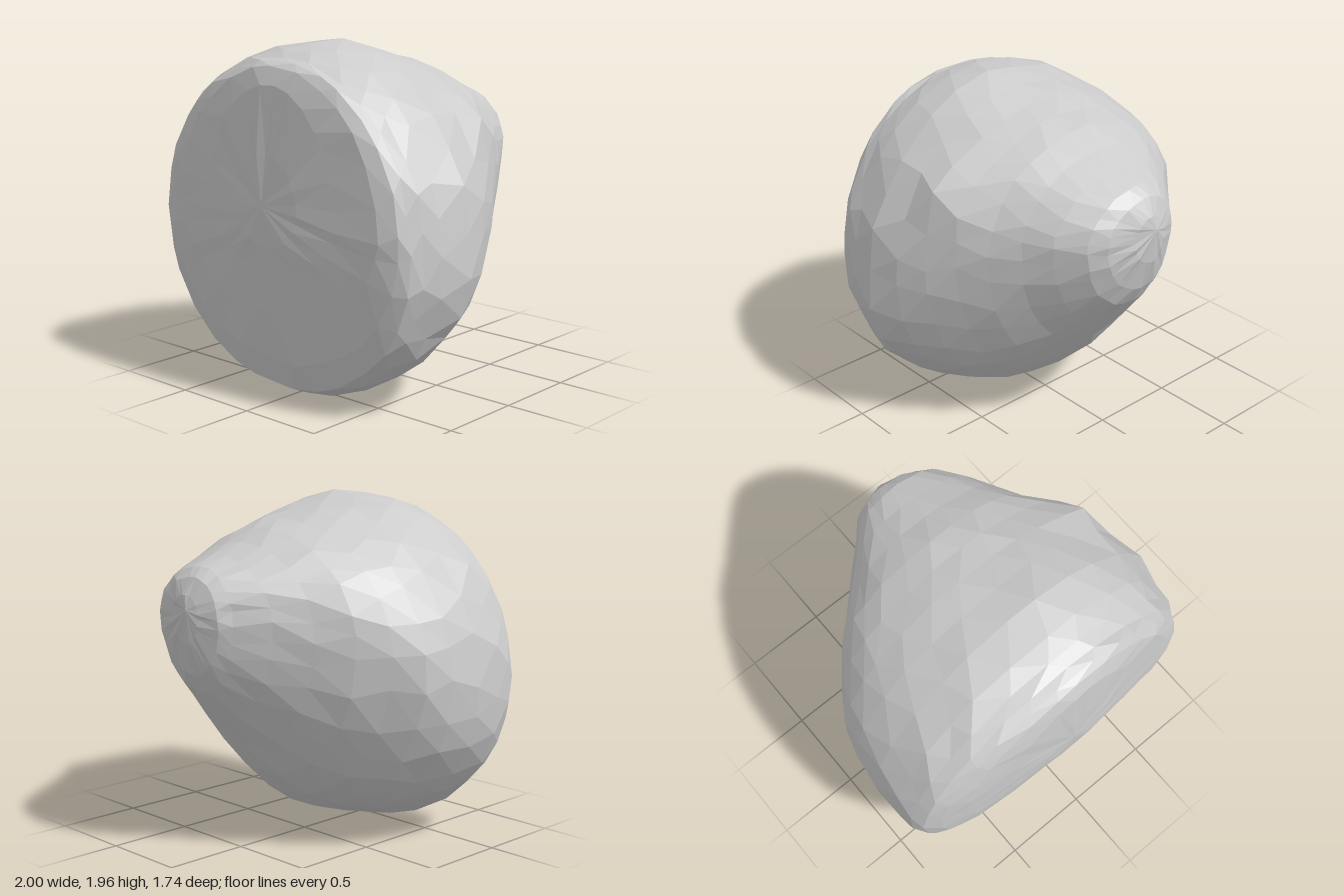
import * as THREE from 'three';

// Cross-sections from back to front: z, right x, left x, bottom y, top y, y of the widest point
const SECTIONS = [
  [-0.85, -0.07, 0.14, 1.20, 1.47, 1.35],
  [-0.80, -0.18, 0.29, 1.03, 1.56, 1.33],
  [-0.74, -0.23, 0.38, 0.92, 1.61, 1.32],
  [-0.60, -0.38, 0.49, 0.75, 1.66, 1.30],
  [-0.45, -0.54, 0.58, 0.58, 1.72, 1.25],
  [-0.30, -0.70, 0.68, 0.40, 1.79, 1.20],
  [-0.15, -0.82, 0.77, 0.25, 1.83, 1.14],
  [0.00, -0.92, 0.86, 0.15, 1.87, 1.05],
  [0.16, -0.98, 0.95, 0.09, 1.91, 0.97],
  [0.35, -1.00, 1.00, 0.04, 1.95, 0.87],
  [0.53, -1.00, 0.97, 0.00, 1.94, 0.87],
  [0.64, -0.975, 0.93, 0.02, 1.91, 0.90],
  [0.71, -0.95, 0.90, 0.05, 1.88, 0.93],
  [0.76, -0.86, 0.86, 0.22, 1.86, 0.97],
  [0.80, -0.72, 0.76, 0.50, 1.83, 1.02],
  [0.835, -0.45, 0.48, 0.74, 1.74, 1.06],
  [0.858, -0.20, 0.25, 0.88, 1.38, 1.08],
];
const SIDES = 28;

function seeded(seed) {
  return () => {
    seed = (seed * 16807) % 2147483647;
    return seed / 2147483647 * 2 - 1;
  };
}

function boulderGeometry() {
  const random = seeded(41);
  const positions = [];
  const index = [];
  const knob = new THREE.Vector3(0.74, 1.53, -0.04);
  const p = new THREE.Vector3();

  // Rings of four joined quarter ellipses, staggered and slightly irregular
  SECTIONS.forEach(([z, right, left, bottom, top, midY], i) => {
    for (let j = 0; j < SIDES; j++) {
      const angle = (j + (i % 2) * 0.5 + random() * 0.2) / SIDES * Math.PI * 2;
      const c = Math.cos(angle), s = Math.sin(angle);
      const k = 1 + random() * 0.012;
      const midX = 0.02;
      p.set(
        midX + k * c * (c > 0 ? left - midX : midX - right),
        midY + k * s * (s > 0 ? top - midY : midY - bottom),
        z + random() * 0.006
      );
      // Blunt knob on the upper left shoulder
      const push = 0.1 * Math.exp(-p.distanceToSquared(knob) / 0.03);
      p.x += push * 0.85;
      p.y += push * 0.5;
      positions.push(p.x, Math.max(0, p.y), p.z);
    }
  });
  const backTip = positions.length / 3;
  positions.push(0, 1.39, -0.87, 0, 1.1, 0.87);
  const frontTip = backTip + 1;

  // Skin between the rings
  const last = SECTIONS.length - 1;
  for (let i = 0; i < last; i++) {
    for (let j = 0; j < SIDES; j++) {
      const next = (j + 1) % SIDES;
      const a = i * SIDES + j, b = i * SIDES + next;
      const c = a + SIDES, d = b + SIDES;
      if (i % 2) index.push(a, d, c, a, b, d);
      else index.push(a, b, c, b, d, c);
    }
  }
  // Closing fans at the back tip and the broad front face
  for (let j = 0; j < SIDES; j++) {
    const next = (j + 1) % SIDES;
    index.push(backTip, next, j);
    index.push(last * SIDES + j, last * SIDES + next, frontTip);
  }

  const geometry = new THREE.BufferGeometry();
  geometry.setAttribute('position', new THREE.Float32BufferAttribute(positions, 3));
  geometry.setIndex(index);
  const faceted = geometry.toNonIndexed();
  faceted.computeVertexNormals();
  return faceted;
}

export function createModel() {
  const group = new THREE.Group();
  group.name = 'rock';
  const material = new THREE.MeshStandardMaterial({ color: 0xcccccc, flatShading: true });
  const boulder = new THREE.Mesh(boulderGeometry(), material);
  boulder.name = 'boulder';
  group.add(boulder);
  return group;
}
